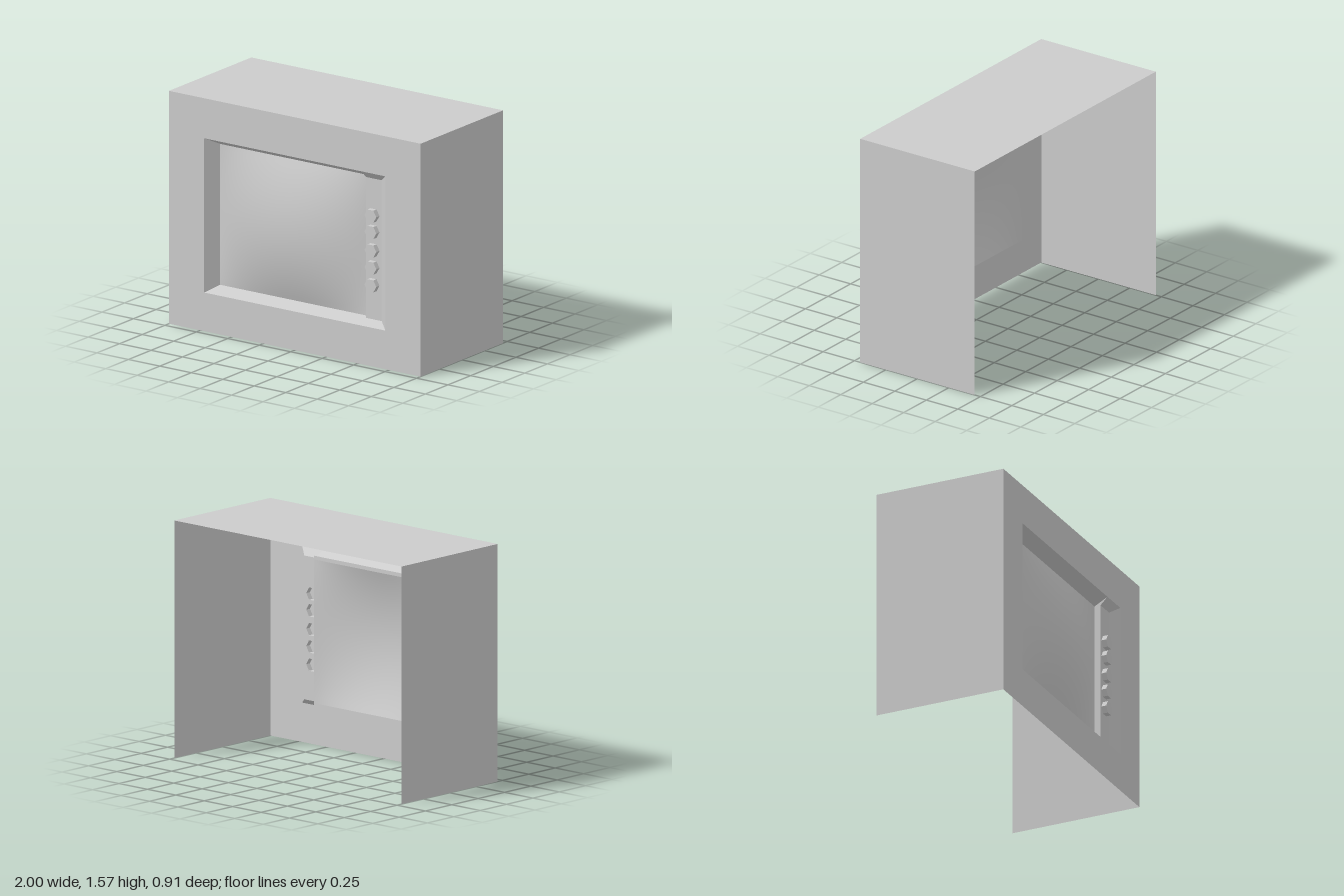
import * as THREE from 'three';

const H = 1.57, FRONT = 0.455, DEPTH = 0.91;
const SCREEN_Z = FRONT - 0.093, PANEL_Z = FRONT - 0.05;
const SPLIT = 0.53; // x where the screen meets the control strip

const material = new THREE.MeshStandardMaterial({ color: 0xcccccc, side: THREE.DoubleSide });
const flat = new THREE.MeshStandardMaterial({ color: 0xcccccc, side: THREE.DoubleSide, flatShading: true });

function add(parent, name, geometry, mat, x = 0, y = 0, z = 0) {
  const mesh = new THREE.Mesh(geometry, mat);
  mesh.name = name;
  mesh.position.set(x, y, z);
  parent.add(mesh);
  return mesh;
}

function rect(path, x0, y0, x1, y1) {
  path.moveTo(x0, y0).lineTo(x1, y0).lineTo(x1, y1).lineTo(x0, y1).closePath();
  return path;
}

// Sloping frame: joins the opening in the front to the recessed inner edge
function bezelGeometry() {
  const outer = [[-0.72, 0.26], [SPLIT, 0.26], [SPLIT, 0.26], [0.72, 0.26],
    [0.72, 1.3], [SPLIT, 1.3], [SPLIT, 1.3], [-0.72, 1.3]].map(p => [...p, FRONT]);
  const inner = [[-0.66, 0.3, SCREEN_Z], [SPLIT, 0.3, SCREEN_Z], [SPLIT, 0.3, PANEL_Z], [0.655, 0.3, PANEL_Z],
    [0.655, 1.25, PANEL_Z], [SPLIT, 1.25, PANEL_Z], [SPLIT, 1.25, SCREEN_Z], [-0.66, 1.25, SCREEN_Z]];
  const pos = [];
  outer.forEach((a, i) => {
    const j = (i + 1) % outer.length;
    if (a[0] !== outer[j][0] || a[1] !== outer[j][1]) pos.push(...a, ...outer[j], ...inner[j]);
    pos.push(...a, ...inner[j], ...inner[i]);
  });
  const g = new THREE.BufferGeometry();
  g.setAttribute('position', new THREE.Float32BufferAttribute(pos, 3));
  g.computeVertexNormals();
  return g;
}

// Bulging glass with a flat perimeter
function screenGeometry(w, h, bulge) {
  const g = new THREE.PlaneGeometry(w, h, 32, 26);
  const p = g.attributes.position;
  for (let i = 0; i < p.count; i++) {
    const u = p.getX(i) / (w / 2), v = p.getY(i) / (h / 2);
    p.setZ(i, bulge * (1 - u * u) * (1 - v * v));
  }
  g.computeVertexNormals();
  return g;
}

export function createModel() {
  const model = new THREE.Group();
  model.name = 'television';

  // Cabinet: thin shell, open at the back and underneath
  const cabinet = new THREE.Group();
  cabinet.name = 'cabinet';
  model.add(cabinet);
  const front = rect(new THREE.Shape(), -1, 0, 1, H);
  front.holes.push(rect(new THREE.Path(), -0.72, 0.26, 0.72, 1.3));
  add(cabinet, 'frontFace', new THREE.ShapeGeometry(front), material, 0, 0, FRONT);
  add(cabinet, 'topFace', new THREE.PlaneGeometry(2, DEPTH).rotateX(-Math.PI / 2), material, 0, H, 0);
  for (const s of [-1, 1]) {
    add(cabinet, s > 0 ? 'leftSide' : 'rightSide',
      new THREE.PlaneGeometry(DEPTH, H).rotateY(s * Math.PI / 2), material, s, H / 2, 0);
  }

  add(model, 'bezel', bezelGeometry(), flat);

  // Screen and the narrow rim tucked behind the bezel
  const cx = (SPLIT - 0.66) / 2;
  add(model, 'screen', screenGeometry(SPLIT + 0.66, 0.95, 0.0932), material, cx, 0.775, SCREEN_Z);
  const rim = rect(new THREE.Shape(), -0.67, 0.275, SPLIT, 1.275);
  rim.holes.push(rect(new THREE.Path(), -0.66, 0.3, SPLIT - 0.002, 1.25));
  add(model, 'screenRim', new THREE.ShapeGeometry(rim), material, 0, 0, SCREEN_Z);

  // Control strip with a hexagonal hole behind every knob
  const knobX = 0.59, knobR = 0.047, knobH = 0.035;
  const knobYs = [1.005, 0.895, 0.77, 0.655, 0.535];
  const strip = rect(new THREE.Shape(), SPLIT, 0.3, 0.655, 1.25);
  for (const y of knobYs) {
    const corners = Array.from({ length: 6 }, (_, i) => new THREE.Vector2(
      knobX + knobR * Math.cos(i * Math.PI / 3), y + knobR * Math.sin(i * Math.PI / 3)));
    strip.holes.push(new THREE.Path(corners));
  }
  add(model, 'controlPanel', new THREE.ShapeGeometry(strip), material, 0, 0, PANEL_Z);
  add(model, 'panelEdge', new THREE.PlaneGeometry(PANEL_Z - SCREEN_Z, 0.95).rotateY(-Math.PI / 2),
    material, SPLIT, 0.775, (PANEL_Z + SCREEN_Z) / 2);

  // Hollow hexagonal knobs
  for (const y of knobYs) {
    const knob = new THREE.Group();
    knob.name = 'knob';
    knob.position.set(knobX, y, PANEL_Z);
    model.add(knob);
    add(knob, 'knobSide', new THREE.CylinderGeometry(knobR, knobR, knobH, 6, 1, true, Math.PI / 2)
      .rotateX(Math.PI / 2), flat, 0, 0, knobH / 2);
    add(knob, 'knobFace', new THREE.CircleGeometry(knobR, 6), flat, 0, 0, knobH);
  }
  return model;
}
